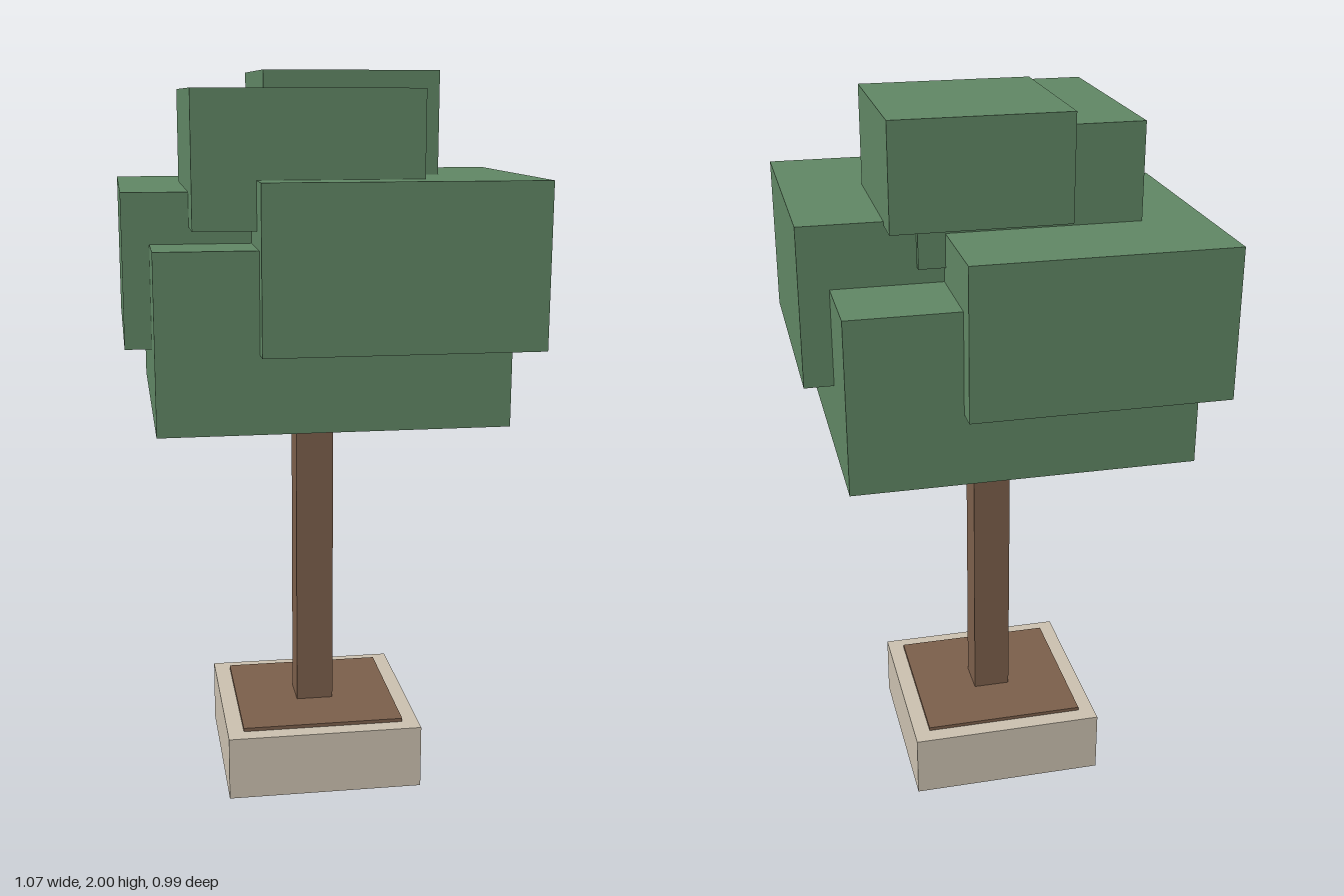
import * as THREE from 'three';

export function createModel() {
  const group = new THREE.Group();
  const material = (name, color) => {
    const m = new THREE.MeshStandardMaterial({ color });
    m.name = name;
    return m;
  };
  const stone = material('stone', 0xc9bfae);
  const wood = material('brown', 0x7a5e4a);
  const leaf = material('leaf green', 0x5f8563);

  // Box given by its [min, max] extents on each axis
  const block = (name, mat, [x0, x1], [y0, y1], [z0, z1]) => {
    const mesh = new THREE.Mesh(new THREE.BoxGeometry(x1 - x0, y1 - y0, z1 - z0), mat);
    mesh.position.set((x0 + x1) / 2, (y0 + y1) / 2, (z0 + z1) / 2);
    mesh.name = name;
    group.add(mesh);
  };

  // Planter, soil and trunk
  block('planter', stone, [-0.28, 0.27], [0, 0.18], [-0.267, 0.28]);
  block('soil', wood, [-0.234, 0.224], [0.17, 0.19], [-0.22, 0.234]);
  block('trunk', wood, [-0.058, 0.048], [0.18, 1.082], [-0.045, 0.058]);

  // Overlapping foliage blocks
  block('lowerFoliage', leaf, [-0.464, 0.453], [1.095, 1.562], [-0.435, 0.442]);
  block('frontLeftFoliage', leaf, [-0.2, 0.532], [1.3, 1.73], [-0.2, 0.492]);
  block('backRightFoliage', leaf, [-0.535, 0.157], [1.29, 1.695], [-0.495, 0.256]);
  block('upperFoliage', leaf, [-0.362, 0.228], [1.605, 1.953], [-0.22, 0.39]);
  block('crownFoliage', leaf, [-0.158, 0.31], [1.72, 2], [-0.292, 0.176]);

  return group;
}
